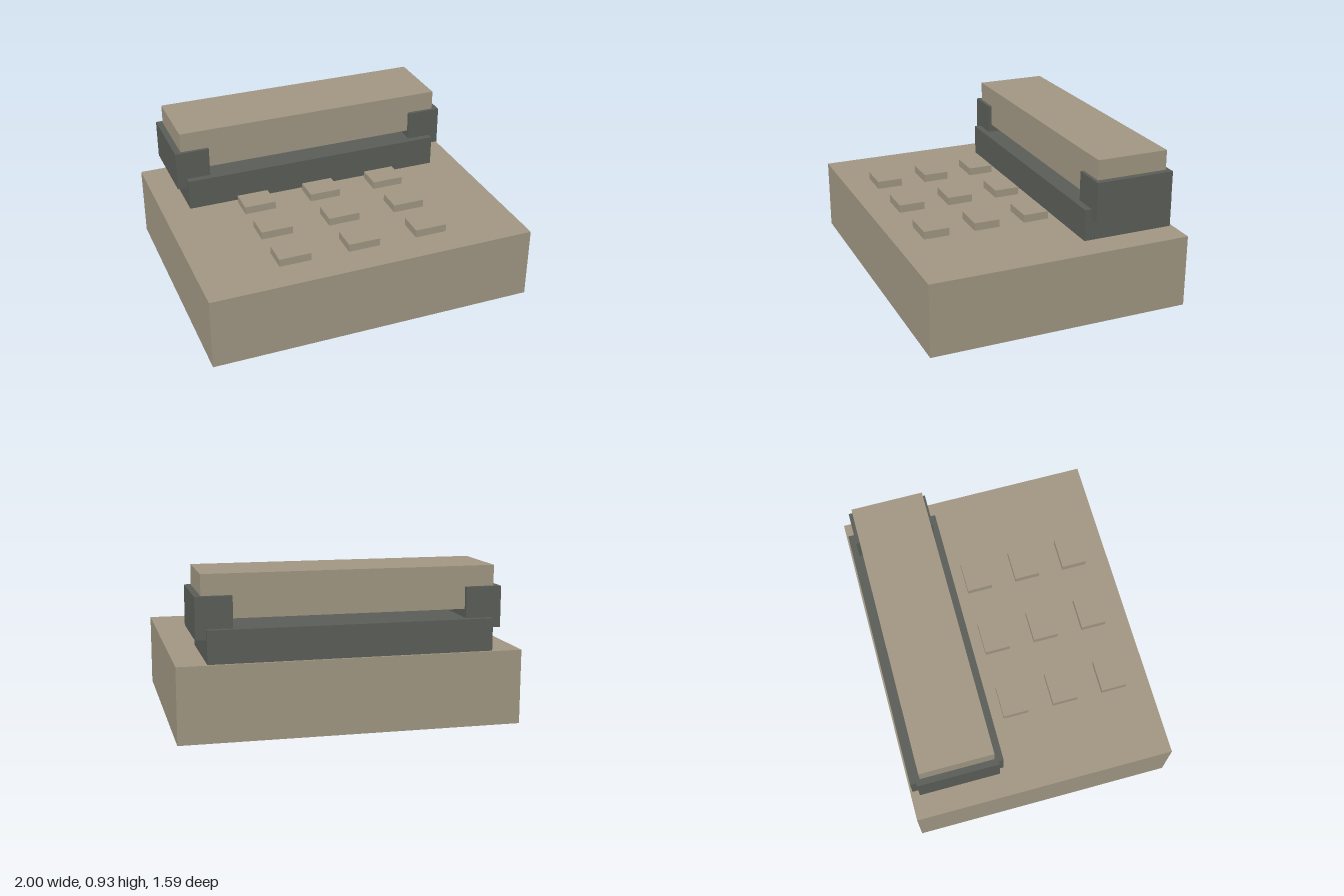
import * as THREE from 'three';

export function createModel() {
  const model = new THREE.Group();
  model.name = 'deskTelephone';

  const beige = new THREE.MeshStandardMaterial({ color: 0xa09682 });
  beige.name = 'beige plastic';
  const charcoal = new THREE.MeshStandardMaterial({ color: 0x5a5d57 });
  charcoal.name = 'charcoal plastic';

  // Box given by its size and the position of its bottom centre
  function box(name, material, [w, h, d], [x, y, z], parent = model) {
    const mesh = new THREE.Mesh(new THREE.BoxGeometry(w, h, d), material);
    mesh.name = name;
    mesh.position.set(x, y + h / 2, z);
    parent.add(mesh);
    return mesh;
  }

  // Body and the cradle along its back
  box('base', beige, [2, 0.44, 1.59], [0, 0, 0]);
  box('cradle', charcoal, [1.65, 0.19, 0.565], [0, 0.44, -0.4975]);

  // Handset: grip bar with an earpiece and a mouthpiece
  const handset = new THREE.Group();
  handset.name = 'handset';
  model.add(handset);
  box('grip', beige, [1.695, 0.25, 0.44], [0, 0.68, -0.495], handset);
  for (const [name, side] of [['earpiece', -1], ['mouthpiece', 1]]) {
    box(name, charcoal, [0.21, 0.24, 0.485], [side * 0.78, 0.57, -0.4975], handset);
  }

  // Three by three keypad, held just above the base
  const keypad = new THREE.Group();
  keypad.name = 'keypad';
  model.add(keypad);
  for (let row = 0; row < 3; row++) {
    for (let col = 0; col < 3; col++) {
      box('key', beige, [0.195, 0.047, 0.155],
        [-0.443 + col * 0.426, 0.469, -0.058 + row * 0.311], keypad);
    }
  }

  return model;
}
